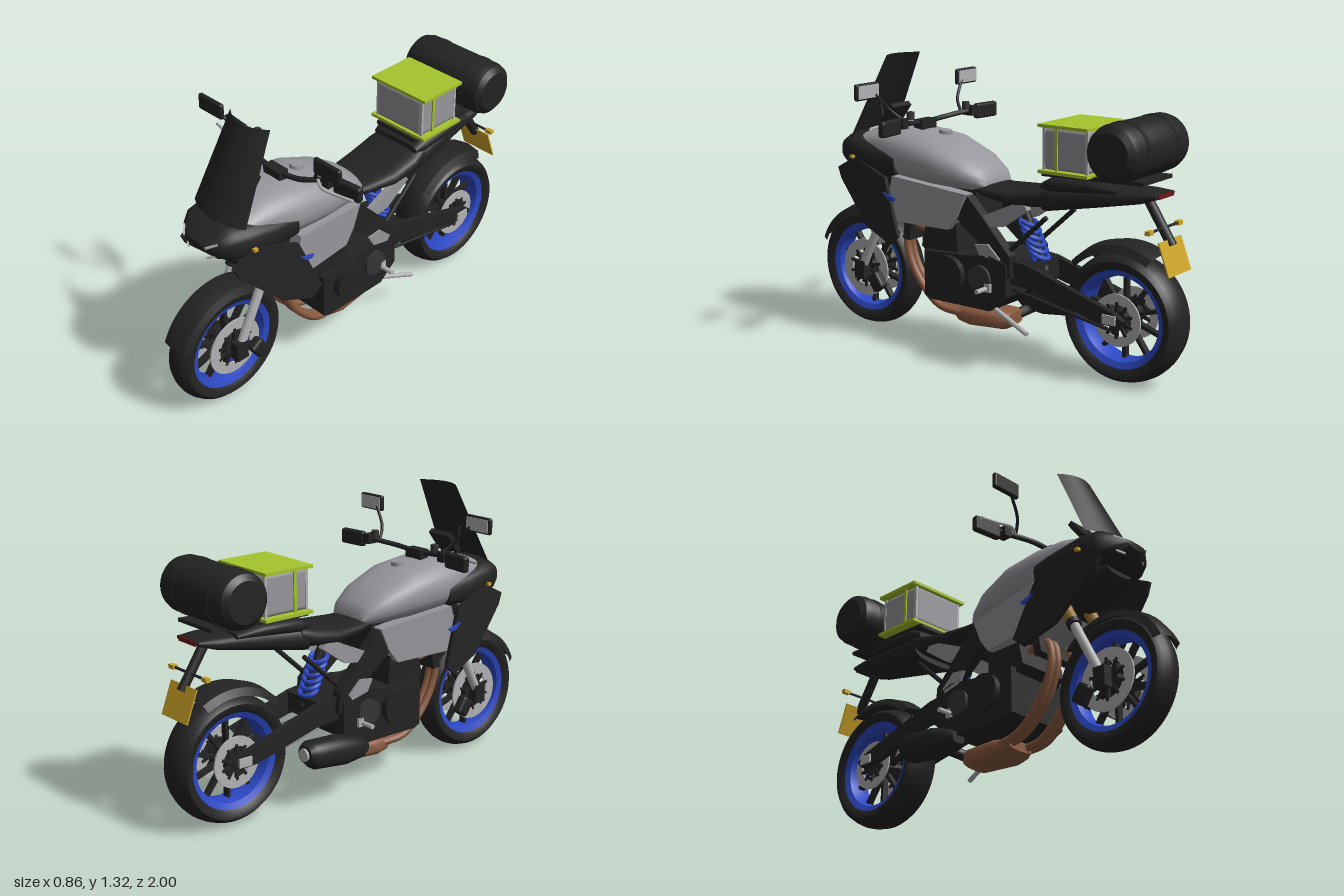
import * as THREE from 'three';
import { toCreasedNormals } from 'three/addons/utils/BufferGeometryUtils.js';
import { RoundedBoxGeometry } from 'three/addons/geometries/RoundedBoxGeometry.js';

const mat = (name, color) => Object.assign(new THREE.MeshStandardMaterial({ color, side: THREE.DoubleSide }), { name });
const M = {
  black: mat('black', 0x232323), grey: mat('body grey', 0x96969c), silver: mat('silver', 0xb2b2b4),
  blue: mat('blue', 0x2c48c4), lime: mat('lime', 0xa6c42c), yellow: mat('yellow', 0xcda428),
  gold: mat('fork gold', 0x94702f), copper: mat('copper', 0x8a5a40), dark: mat('dark grey', 0x353538), red: mat('tail red', 0x6a1818),
};

export function createModel() {
  const root = new THREE.Group();
  root.name = 'touringMotorcycle';
  const V = (p) => new THREE.Vector3(...p);
  const add = (name, geo, m, pos = [0, 0, 0], rot = [0, 0, 0], parent = root) => {
    const mesh = new THREE.Mesh(geo, m);
    mesh.name = name;
    mesh.position.set(...pos);
    mesh.rotation.set(...rot);
    parent.add(mesh);
    return mesh;
  };
  const box = (name, m, size, pos, rot, parent) => add(name, new THREE.BoxGeometry(...size), m, pos, rot, parent);
  const both = (fn) => [1, -1].forEach(fn);
  // cylinder between two points
  const rod = (name, m, a, b, r, r2 = r, parent = root) => {
    const d = V(b).sub(V(a));
    const mesh = add(name, new THREE.CylinderGeometry(r2, r, d.length(), 14), m, V(a).addScaledVector(d, 0.5).toArray(), [0, 0, 0], parent);
    mesh.quaternion.setFromUnitVectors(V([0, 1, 0]), d.normalize());
    return mesh;
  };
  const tube = (name, m, pts, r) => add(name, new THREE.TubeGeometry(new THREE.CatmullRomCurve3(pts.map(V)), 40, r, 10), m);
  // drum lying along x
  const drum = (name, m, r, w, pos, parent) => add(name, new THREE.CylinderGeometry(r, r, w, 32), m, pos, [0, 0, Math.PI / 2], parent);
  // side plate outlined in (z, y); off(z, y) gives its distance from the centre plane
  const panel = (name, m, pts, thick, s = 1, off = () => 0) => {
    const g = new THREE.ExtrudeGeometry(new THREE.Shape(pts.map((p) => new THREE.Vector2(...p))), { depth: thick, bevelEnabled: false });
    g.translate(0, 0, -thick / 2).rotateY(-Math.PI / 2);
    const p = g.attributes.position;
    for (let i = 0; i < p.count; i++) p.setX(i, p.getX(i) + s * off(p.getZ(i), p.getY(i)));
    g.computeVertexNormals();
    return add(name, g, m);
  };
  // rounded body through sections [z, bottom, top, halfWidth], z increasing
  const loft = (name, m, secs, power = 2.5, x = 0) => {
    const N = 28, pos = [], idx = [], last = secs.length - 1;
    const se = (c) => Math.sign(c) * Math.abs(c) ** (2 / power);
    secs.forEach(([z, lo, hi, w]) => {
      for (let i = 0; i < N; i++) {
        const t = (i / N) * Math.PI * 2;
        pos.push(x + w * se(Math.cos(t)), (lo + hi) / 2 + ((hi - lo) / 2) * se(Math.sin(t)), z);
      }
    });
    [secs[0], secs[last]].forEach(([z, lo, hi]) => pos.push(x, (lo + hi) / 2, z));
    for (let i = 0; i < N; i++) {
      const j = (i + 1) % N;
      for (let k = 0; k < last; k++) {
        const a = k * N + i, b = k * N + j;
        idx.push(a, b, a + N, b, b + N, a + N);
      }
      idx.push((last + 1) * N, j, i, (last + 1) * N + 1, last * N + i, last * N + j);
    }
    const g = new THREE.BufferGeometry();
    g.setAttribute('position', new THREE.Float32BufferAttribute(pos, 3));
    g.setIndex(idx);
    return add(name, toCreasedNormals(g, 0.7), m);
  };
  // turned ring around the x axis from (radius, side) points
  const turned = (pts, start = 0, len = Math.PI * 2) => toCreasedNormals(
    new THREE.LatheGeometry(pts.map((p) => new THREE.Vector2(...p)), 56, start, len).rotateZ(Math.PI / 2), 0.6);

  // Wheels
  const wheel = (name, z, w, discR, discX) => {
    const g = new THREE.Group();
    g.name = name;
    g.position.set(0, 0.287, z);
    root.add(g);
    add('tyre', turned([[0.212, -w * 0.75], [0.235, -w * 0.97], [0.255, -w], [0.273, -w * 0.75], [0.283, -w * 0.35], [0.286, 0],
      [0.283, w * 0.35], [0.273, w * 0.75], [0.255, w], [0.235, w * 0.97], [0.212, w * 0.75], [0.212, -w * 0.75]]), M.black, undefined, undefined, g);
    const h = w * 0.8;
    add('rim', turned([[0.19, -h * 0.8], [0.218, -h], [0.218, h], [0.19, h * 0.8], [0.178, 0], [0.19, -h * 0.8]]), M.blue, undefined, undefined, g);
    drum('hub', M.black, 0.045, w * 1.8, [0, 0, 0], g);
    for (let i = 0; i < 10; i++) {
      const a = (i / 10) * Math.PI * 2;
      box('spoke', M.black, [0.03, 0.15, 0.016], [0, 0.115 * Math.cos(a), 0.115 * Math.sin(a)], [a, 0, 0], g);
    }
    both((s) => {
      const x = s * discX;
      add('brakeDisc', turned([[discR * 0.62, x - 0.004], [discR, x - 0.004], [discR, x + 0.004], [discR * 0.62, x + 0.004], [discR * 0.62, x - 0.004]]), M.silver, undefined, undefined, g);
      for (let i = 0; i < 5; i++) box('discCarrier', M.black, [0.012, discR * 1.4, 0.014], [x, 0, 0], [(i / 5) * Math.PI, 0, 0], g);
    });
  };
  wheel('frontWheel', 0.717, 0.066, 0.138, 0.064);
  wheel('rearWheel', -0.713, 0.085, 0.115, 0.075);
  const fender = (name, z, R, w, a, b) => add(name, turned([[R - 0.045, -w], [R - 0.012, -w * 0.8], [R, 0], [R - 0.012, w * 0.8], [R - 0.045, w]], a, b - a), M.black, [0, 0.287, z]);
  fender('frontFender', 0.717, 0.31, 0.076, 0.38, 2.4);
  fender('rearFender', -0.713, 0.337, 0.09, 0.76, 2.08);

  // Fork
  both((s) => {
    const x = s * 0.095;
    rod('forkLeg', M.silver, [x, 0.27, 0.725], [x, 0.6, 0.56], 0.021);
    rod('forkTube', M.gold, [x, 0.57, 0.575], [x, 0.82, 0.45], 0.028);
    rod('forkCollar', M.black, [x, 0.565, 0.578], [x, 0.59, 0.565], 0.031);
    box('axleFoot', M.black, [0.045, 0.09, 0.06], [x, 0.285, 0.715]);
    add('caliper', new RoundedBoxGeometry(0.05, 0.09, 0.07, 2, 0.015), M.black, [s * 0.1, 0.24, 0.615], [0.6, 0, 0]);
  });
  box('forkClamp', M.black, [0.26, 0.05, 0.1], [0, 0.74, 0.49], [-0.46, 0, 0]);

  // Tank and fairing
  loft('tank', M.grey, [[-0.03, 0.755, 0.81, 0.1], [0.0, 0.745, 0.855, 0.125], [0.09, 0.745, 0.912, 0.165], [0.25, 0.745, 0.977, 0.19],
    [0.42, 0.75, 1.0, 0.185], [0.55, 0.8, 0.997, 0.165], [0.68, 0.85, 0.962, 0.14]], 2.4);
  add('tankCap', new THREE.CylinderGeometry(0.03, 0.032, 0.02, 24), M.grey, [0, 0.985, 0.27], [-0.12, 0, 0]);
  loft('noseFairing', M.black, [[0.43, 0.765, 0.915, 0.185], [0.56, 0.76, 0.935, 0.186], [0.68, 0.775, 0.955, 0.18], [0.75, 0.79, 0.953, 0.162],
    [0.8, 0.81, 0.925, 0.125], [0.845, 0.86, 0.89, 0.06]], 3);
  loft('lowerBeak', M.black, [[0.52, 0.69, 0.79, 0.11], [0.62, 0.69, 0.8, 0.125], [0.7, 0.72, 0.82, 0.115], [0.75, 0.77, 0.83, 0.08]], 2.3);
  both((s) => {
    box('headlampSlit', M.silver, [0.055, 0.008, 0.008], [s * 0.085, 0.89, 0.826], [0, s * 0.75, s * 0.35]);
    box('headlampSlit', M.silver, [0.06, 0.008, 0.008], [s * 0.08, 0.833, 0.816], [0, s * 0.65, s * 0.35]);
    box('frontIndicator', M.yellow, [0.02, 0.014, 0.02], [s * 0.185, 0.852, 0.68]);
    panel('fairingWing', M.black, [[0.785, 0.79], [0.67, 0.85], [0.46, 0.78], [0.36, 0.525], [0.41, 0.48], [0.57, 0.54], [0.76, 0.74]], 0.02, s,
      (z, y) => 0.163 + (0.77 - z) * 0.12 + (0.8 - y) * 0.08);
    panel('tankSidePanel', M.grey, [[0.43, 0.79], [0.035, 0.745], [0.08, 0.64], [0.13, 0.575], [0.41, 0.58], [0.46, 0.68]], 0.06, s, (z) => 0.12 + z * 0.1);
    panel('blueAccent', M.blue, [[0.46, 0.715], [0.385, 0.695], [0.4, 0.68], [0.43, 0.685]], 0.008, s, () => 0.222);
  });

  // Windscreen, curved back at the sides
  const ws = new THREE.PlaneGeometry(2, 1, 12, 6), wp = ws.attributes.position;
  for (let i = 0; i < wp.count; i++) {
    const u = wp.getX(i), v = wp.getY(i) + 0.5;
    wp.setXYZ(i, u * (0.16 - 0.04 * v), 0.948 + 0.377 * v, 0.755 - 0.185 * v - 0.052 * u * u);
  }
  ws.computeVertexNormals();
  add('windscreen', ws, M.black);
  box('instrumentDisplay', M.black, [0.13, 0.11, 0.025], [0, 1.045, 0.57], [-0.65, 0, 0]);
  rod('screenStay', M.black, [0, 0.93, 0.64], [0, 1.1, 0.665], 0.008);

  // Handlebar, controls and mirrors
  tube('handlebar', M.black, [[-0.41, 1.045, 0.3], [-0.25, 1.05, 0.32], [-0.13, 1.03, 0.38], [0, 1.02, 0.39], [0.13, 1.03, 0.38], [0.25, 1.05, 0.32], [0.41, 1.045, 0.3]], 0.012);
  box('barClamp', M.black, [0.1, 0.05, 0.05], [0, 1.01, 0.39]);
  both((s) => {
    add('grip', new RoundedBoxGeometry(0.14, 0.072, 0.034, 2, 0.012), M.black, [s * 0.345, 1.043, 0.305], [0, s * 0.1, 0]);
    tube('lever', M.silver, [[s * 0.2, 1.05, 0.34], [s * 0.27, 1.05, 0.38], [s * 0.35, 1.045, 0.365], [s * 0.42, 1.045, 0.35]], 0.007);
    box('switchBlock', M.black, [0.04, 0.045, 0.05], [s * 0.25, 1.05, 0.32]);
    add('fluidReservoir', new THREE.CylinderGeometry(0.018, 0.018, 0.035, 16), M.dark, [s * 0.2, 1.08, 0.31]);
    tube('mirrorStem', M.black, [[s * 0.2, 1.05, 0.34], [s * 0.24, 1.1, 0.39], [s * 0.31, 1.18, 0.42]], 0.007);
    add('mirrorShell', new RoundedBoxGeometry(0.15, 0.075, 0.024, 3, 0.011), M.black, [s * 0.354, 1.196, 0.43]);
    box('mirrorGlass', M.silver, [0.13, 0.058, 0.004], [s * 0.354, 1.196, 0.417]);
  });

  // Frame, radiator and engine
  box('radiator', M.black, [0.27, 0.27, 0.04], [0, 0.62, 0.38], [-0.15, 0, 0]);
  box('innerFrame', M.black, [0.2, 0.2, 0.36], [0, 0.69, 0.2]);
  panel('cylinderBlock', M.black, [[0.28, 0.6], [0.31, 0.47], [0.27, 0.44], [0.1, 0.46], [0.11, 0.6]], 0.26);
  panel('crankcase', M.black, [[0.27, 0.46], [0.27, 0.25], [0.24, 0.235], [-0.1, 0.235], [-0.19, 0.31], [-0.19, 0.46], [-0.1, 0.49], [0.05, 0.47]], 0.32);
  both((s) => {
    drum('engineCover', M.black, 0.085, 0.05, [s * 0.165, 0.375, 0.12]);
    drum('clutchCover', M.dark, 0.06, 0.02, [s * 0.165, 0.38, -0.05]);
    panel('mainBeam', M.black, [[0.09, 0.63], [0.03, 0.74], [-0.04, 0.67], [-0.2, 0.5], [-0.21, 0.4], [-0.12, 0.42], [-0.08, 0.5]], 0.05, s, () => 0.125);
    panel('pivotPlate', M.grey, [[-0.02, 0.53], [-0.09, 0.54], [-0.155, 0.48], [-0.14, 0.455], [-0.05, 0.475]], 0.012, s, () => 0.154);
    panel('subframePanel', M.grey, [[-0.05, 0.66], [-0.26, 0.755], [-0.29, 0.715], [-0.16, 0.625], [-0.09, 0.615]], 0.03, s, () => 0.125);
    rod('subframeStrut', M.black, [s * 0.11, 0.5, -0.16], [s * 0.11, 0.69, -0.37], 0.011);
    rod('footPeg', M.silver, [s * 0.13, 0.34, -0.09], [s * 0.24, 0.34, -0.09], 0.011);
    box('pegBracket', M.silver, [0.012, 0.04, 0.03], [s * 0.17, 0.345, -0.1]);
    panel('swingarm', M.black, [[-0.14, 0.48], [-0.28, 0.465], [-0.72, 0.33], [-0.77, 0.3], [-0.74, 0.27], [-0.64, 0.275], [-0.3, 0.36], [-0.16, 0.37]], 0.03, s, () => 0.11);
    box('axlePlate', M.silver, [0.01, 0.04, 0.065], [s * 0.129, 0.3, -0.705]);
  });
  box('swingarmBridge', M.black, [0.22, 0.09, 0.1], [0, 0.42, -0.25]);
  tube('chain', M.black, [[0.1, 0.34, -0.18], [0.1, 0.3, -0.4], [0.1, 0.25, -0.68]], 0.008);

  // Rear shock with coils
  rod('shockBody', M.black, [0, 0.42, -0.29], [0, 0.72, -0.16], 0.022);
  const coil = Array.from({ length: 61 }, (_, i) => {
    const t = i / 60, a = t * Math.PI * 12;
    return [0.043 * Math.cos(a), 0.47 + 0.17 * t + 0.018 * Math.sin(a), -0.268 + 0.074 * t + 0.039 * Math.sin(a)];
  });
  add('shockSpring', new THREE.TubeGeometry(new THREE.CatmullRomCurve3(coil.map(V)), 160, 0.011, 8), M.blue);

  // Exhaust
  [-0.085, -0.05, 0.05, 0.085].forEach((x) => tube('headerPipe', M.copper,
    [[x, 0.54, 0.31], [x, 0.55, 0.41], [x, 0.47, 0.435], [x, 0.36, 0.405], [x, 0.26, 0.335], [x, 0.185, 0.24], [x * 0.8, 0.165, 0.1]], 0.018));
  loft('collector', M.copper, [[-0.13, 0.14, 0.2, 0.055], [-0.1, 0.12, 0.21, 0.08], [0.08, 0.11, 0.205, 0.095], [0.14, 0.12, 0.195, 0.085], [0.17, 0.14, 0.185, 0.07]], 3);
  tube('linkPipe', M.black, [[-0.03, 0.17, -0.1], [-0.1, 0.19, -0.13], [-0.15, 0.23, -0.2]], 0.025);
  loft('muffler', M.black, [[-0.4, 0.22, 0.3, 0.045], [-0.37, 0.19, 0.315, 0.065], [-0.2, 0.17, 0.305, 0.07], [-0.1, 0.18, 0.275, 0.06], [-0.06, 0.2, 0.25, 0.035]], 2.5, -0.148);
  rod('mufflerTip', M.silver, [-0.148, 0.26, -0.39], [-0.148, 0.26, -0.41], 0.03);
  rod('kickstand', M.silver, [0.12, 0.25, -0.08], [0.165, 0.17, -0.31], 0.011);

  // Seat, tail and rack
  loft('seat', M.black, [[-0.4, 0.75, 0.84, 0.14], [-0.33, 0.725, 0.82, 0.155], [-0.2, 0.715, 0.79, 0.15], [-0.05, 0.73, 0.785, 0.125], [0.02, 0.745, 0.79, 0.11]], 3);
  loft('tail', M.black, [[-0.885, 0.825, 0.85, 0.08], [-0.8, 0.795, 0.855, 0.1], [-0.6, 0.755, 0.85, 0.12], [-0.36, 0.71, 0.83, 0.145]], 3);
  loft('pillionSeat', M.black, [[-0.72, 0.83, 0.86, 0.12], [-0.6, 0.82, 0.885, 0.14], [-0.4, 0.8, 0.88, 0.145], [-0.35, 0.81, 0.85, 0.13]], 3);
  box('rackPlate', M.black, [0.24, 0.016, 0.5], [0, 0.888, -0.6], [0.03, 0, 0]);
  box('tailLight', M.red, [0.12, 0.02, 0.02], [0, 0.837, -0.882]);
  both((s) => {
    rod('rearIndicatorStalk', M.black, [0, 0.7, -0.885], [s * 0.1, 0.7, -0.885], 0.006);
    box('rearIndicator', M.yellow, [0.035, 0.018, 0.022], [s * 0.12, 0.7, -0.885]);
  });
  rod('plateHanger', M.black, [0, 0.82, -0.8], [0, 0.63, -0.925], 0.022);
  box('numberPlate', M.yellow, [0.185, 0.15, 0.006], [0, 0.585, -0.938], [0.36, 0, 0]);

  // Luggage crate with lid, base and strap
  add('crate', new RoundedBoxGeometry(0.28, 0.185, 0.235, 1, 0.02), M.grey, [0, 0.997, -0.482]);
  box('crateLid', M.lime, [0.325, 0.014, 0.25], [0, 1.097, -0.483]);
  box('crateBase', M.lime, [0.325, 0.014, 0.25], [0, 0.9, -0.483]);
  both((s) => {
    box('crateStrap', M.lime, [0.006, 0.2, 0.014], [s * 0.143, 0.998, -0.44]);
    both((t) => box('cratePost', M.silver, [0.012, 0.18, 0.012], [s * 0.134, 0.997, -0.482 + t * 0.108]));
  });

  // Roll bag
  add('rollBag', turned([[0, -0.235], [0.09, -0.235], [0.115, -0.215], [0.124, -0.185], [0.124, 0.185], [0.115, 0.215], [0.09, 0.235], [0, 0.235]]), M.black, [0, 1.022, -0.755]);
  both((s) => drum('bagStrap', M.black, 0.127, 0.025, [s * 0.12, 1.022, -0.755]));
  return root;
}
